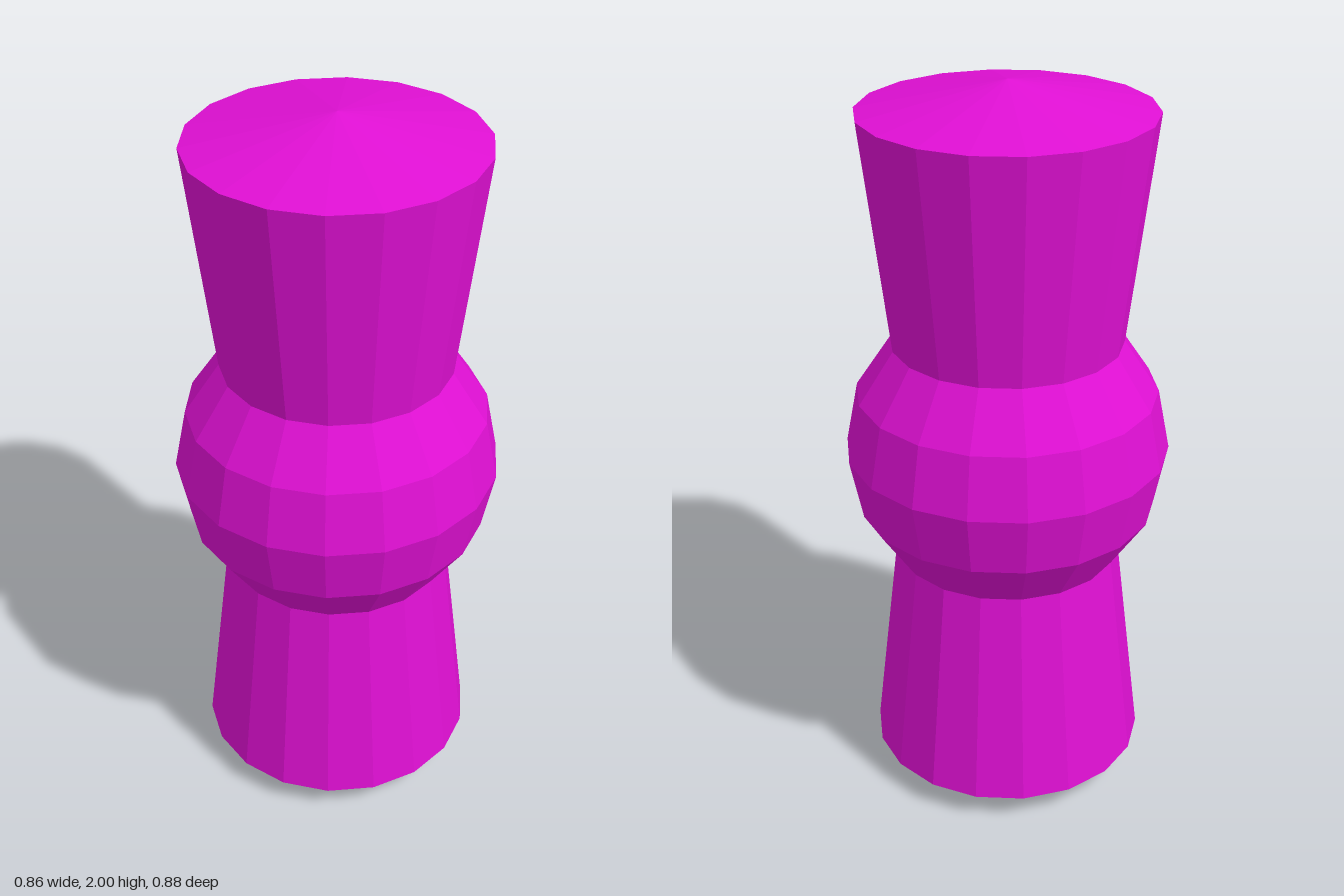
import * as THREE from 'three';

const SIDES = 18;
const CENTER = 1;
const BALL_RADIUS = 0.438;
const WAIST = BALL_RADIUS * Math.SQRT1_2; // radius and half height where ball meets handles
const RIM_RADIUS = 0.382;
const RIM_HEIGHT = 0.923; // above the centre

export function createModel() {
  const group = new THREE.Group();
  const material = new THREE.MeshStandardMaterial({ color: 0xe010d4, flatShading: true });

  // Profiles are [radius, height above centre], listed bottom to top
  const addLathe = (name, profile) => {
    const points = profile.map(([r, y]) => new THREE.Vector2(r, y + CENTER));
    const mesh = new THREE.Mesh(new THREE.LatheGeometry(points, SIDES), material);
    mesh.name = name;
    group.add(mesh);
  };

  // Central faceted ball, cut off at 45 degrees above and below
  const ball = [-2, -1, 0, 1, 2].map((i) => {
    const a = (i * Math.PI) / 8;
    return [BALL_RADIUS * Math.cos(a), BALL_RADIUS * Math.sin(a)];
  });
  addLathe('centerBall', ball);

  // Flared handles with shallow conical ends
  const handle = [[WAIST, WAIST], [RIM_RADIUS, RIM_HEIGHT]];
  const cap = [[RIM_RADIUS, RIM_HEIGHT], [0, 1]];
  const flip = (profile) => profile.map(([r, y]) => [r, -y]).reverse();
  addLathe('upperHandle', handle);
  addLathe('upperCap', cap);
  addLathe('lowerHandle', flip(handle));
  addLathe('lowerCap', flip(cap));

  return group;
}
